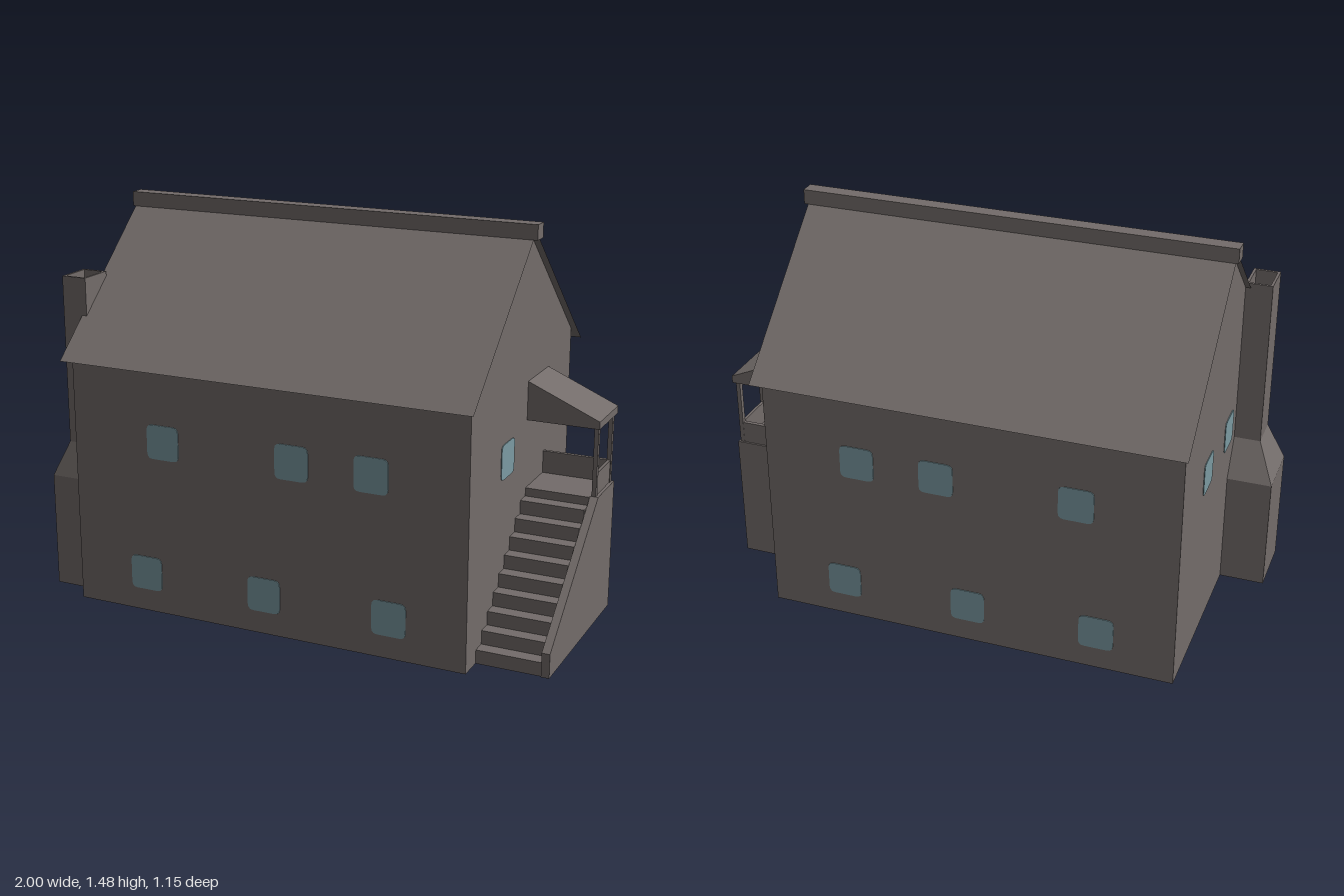
import * as THREE from 'three';

export function createModel() {
  const house = new THREE.Group();
  house.name = 'house';
  const stone = new THREE.MeshStandardMaterial({ color: 0x736c6a, side: THREE.DoubleSide });
  stone.name = 'warm grey stone';
  const glass = new THREE.MeshStandardMaterial({ color: 0x7b9aa2, side: THREE.DoubleSide });
  glass.name = 'pale blue glass';

  const add = (name, geometry, material = stone) => {
    const mesh = new THREE.Mesh(geometry, material);
    mesh.name = name;
    house.add(mesh);
    return mesh;
  };
  // Box given by its two corners
  const box = (name, x0, x1, y0, y1, z0, z1) =>
    add(name, new THREE.BoxGeometry(x1 - x0, y1 - y0, z1 - z0))
      .position.set((x0 + x1) / 2, (y0 + y1) / 2, (z0 + z1) / 2);
  // Rectangular sheet
  const sheet = (name, w, h, x, y, z, rx = 0, ry = 0) => {
    const m = add(name, new THREE.PlaneGeometry(w, h));
    m.position.set(x, y, z);
    m.rotation.set(rx, ry, 0);
  };
  // Flat outline of [z, y] points in a plane of constant x
  const sideShape = pts => new THREE.Shape(pts.map(([z, y]) => new THREE.Vector2(-z, y)));

  // Walls: thin shell, open underneath
  const L = -0.83, R = 0.73, D = 0.525, EAVE = 0.985, RIDGE = 1.45;
  for (const s of [1, -1])
    sheet(s > 0 ? 'frontWall' : 'backWall', R - L, EAVE, (L + R) / 2, EAVE / 2, s * D, 0, s > 0 ? 0 : Math.PI);
  const gable = sideShape([[D, 0], [-D, 0], [-D, EAVE], [0, RIDGE], [D, EAVE]]);
  for (const [name, x] of [['rightGable', R], ['leftGable', L]])
    add(name, new THREE.ShapeGeometry(gable).rotateY(Math.PI / 2)).position.x = x;

  // Roof slopes and ridge beam
  const eaveZ = 0.575, eaveY = 0.941;
  const slope = Math.hypot(eaveZ, RIDGE - eaveY), tilt = Math.atan2(eaveZ, RIDGE - eaveY);
  for (const s of [1, -1]) {
    const g = new THREE.PlaneGeometry(1.605, slope);
    if (s < 0) g.rotateY(Math.PI);
    g.rotateX(-s * tilt);
    add(s > 0 ? 'frontRoof' : 'backRoof', g).position.set(-0.0475, (RIDGE + eaveY) / 2, s * eaveZ / 2);
  }
  box('ridgeBeam', -0.86, 0.77, 1.425, 1.48, -0.029, 0.029);

  // Windows: rounded thin panes showing on both sides of the wall
  const w = 0.065, r = 0.022;
  const pane = new THREE.Shape();
  pane.moveTo(-w + r, -w);
  pane.lineTo(w - r, -w);
  pane.quadraticCurveTo(w, -w, w, -w + r);
  pane.lineTo(w, w - r);
  pane.quadraticCurveTo(w, w, w - r, w);
  pane.lineTo(-w + r, w);
  pane.quadraticCurveTo(-w, w, -w, w - r);
  pane.lineTo(-w, -w + r);
  pane.quadraticCurveTo(-w, -w, -w + r, -w);
  const paneGeo = new THREE.ExtrudeGeometry(pane, { depth: 0.006, bevelEnabled: false, curveSegments: 3 })
    .translate(0, 0, -0.003);
  const addWindow = (x, y, z, turn) => {
    const m = add('window', paneGeo, glass);
    m.position.set(x, y, z);
    m.rotation.y = turn;
  };
  for (const z of [D, -D]) {
    for (const x of [-0.455, 0.065, 0.37]) addWindow(x, 0.668, z, 0);
    for (const x of [-0.54, -0.05, 0.44]) addWindow(x, 0.15, z, 0);
  }
  addWindow(R, 0.668, 0.16, Math.PI / 2);
  for (const z of [-0.16, 0.16]) addWindow(L, 0.668, z, Math.PI / 2);

  // Chimney: rectangular sections [x0, x1, z0, z1, y], outside up, then down the flue
  const rings = [
    [-1, L, 0.2, 0.44, 0], [-1, L, 0.2, 0.44, 0.44],
    [-0.93, L, 0.28, 0.42, 0.58], [-0.93, L, 0.28, 0.42, 1.22],
    [-0.92, L - 0.01, 0.29, 0.41, 1.22], [-0.92, L - 0.01, 0.29, 0.41, 0.5],
  ].map(([x0, x1, z0, z1, y]) => [[x0, y, z1], [x1, y, z1], [x1, y, z0], [x0, y, z0]]);
  const pos = [];
  const quad = (a, b, c, d) => pos.push(...a, ...b, ...c, ...a, ...c, ...d);
  for (let i = 0; i < rings.length - 1; i++)
    for (let k = 0; k < 4; k++) {
      const n = (k + 1) % 4;
      quad(rings[i][k], rings[i][n], rings[i + 1][n], rings[i + 1][k]);
    }
  quad(...rings[rings.length - 1]);
  const chimney = new THREE.BufferGeometry();
  chimney.setAttribute('position', new THREE.Float32BufferAttribute(pos, 3));
  chimney.computeVertexNormals();
  add('chimney', chimney);

  // Outside stair: side wall, open-backed steps and landing
  const sideWall = sideShape([[0.435, 0], [-0.26, 0], [-0.26, 0.495], [-0.06, 0.495], [0.435, 0.09]]);
  add('stairSideWall', new THREE.ExtrudeGeometry(sideWall, { depth: 0.03, bevelEnabled: false })
    .rotateY(Math.PI / 2)).position.x = 0.97;
  const steps = 9, run = 0.053, rise = 0.0515, t = 0.005;
  for (let i = 0; i < steps; i++) {
    const z = 0.43 - i * run, y = (i + 1) * rise;
    box('stairRiser', R, 0.97, y - rise, y, z - t, z);
    box('stairTread', R, 0.97, y - t, y, z - run, z);
  }
  const landingZ = 0.43 - steps * run;
  box('landingRiser', R, 0.97, steps * rise, 0.495, landingZ - t, landingZ);
  box('landing', R, 0.97, 0.49, 0.495, -0.26, landingZ);
  box('landingBackWall', R, 0.97, 0, 0.495, -0.26, -0.25);

  // Landing railings and porch posts
  box('backRailing', R, 0.985, 0.495, 0.58, -0.253, -0.238);
  box('sideRailing', 0.977, 0.988, 0.495, 0.58, -0.24, -0.075);
  for (const z of [-0.07, -0.245])
    box('porchPost', 0.975, 0.991, 0.495, 0.755, z - 0.009, z + 0.009);

  // Porch roof wedge
  const wedge = new THREE.Shape([[R, 0.755], [1, 0.755], [1, 0.783], [R, 0.9]]
    .map(p => new THREE.Vector2(...p)));
  add('porchRoof', new THREE.ExtrudeGeometry(wedge, { depth: 0.225, bevelEnabled: false })).position.z = -0.265;

  return house;
}
